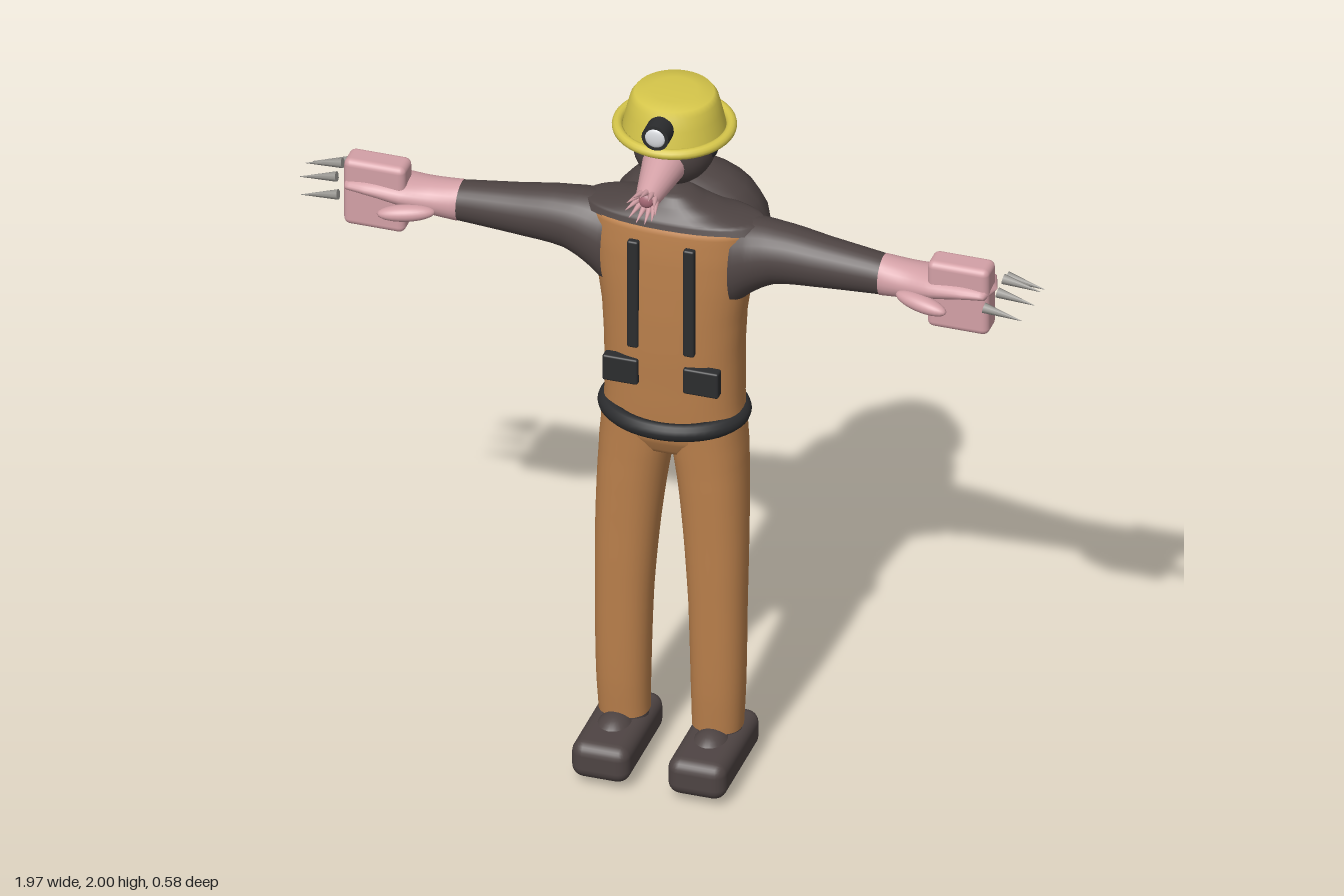
import * as THREE from 'three';
import { RoundedBoxGeometry } from 'three/addons/geometries/RoundedBoxGeometry.js';

const mat = (name, color, side = THREE.FrontSide) => {
  const m = new THREE.MeshStandardMaterial({ color, side });
  m.name = name;
  return m;
};

// Smooth skin over sections [y, centreX, centreZ, halfX, halfZ]
function loft(sections, power = 2, sides = 28) {
  const mid = new THREE.CatmullRomCurve3(sections.map(s => new THREE.Vector3(s[1], s[0], s[2])));
  const half = sections.map(s => new THREE.Vector2(s[3], s[4]));
  const rows = (sections.length - 1) * 4, pos = [], idx = [];
  const bend = v => Math.sign(v) * Math.abs(v) ** (2 / power);
  for (let i = 0; i <= rows; i++) {
    const c = mid.getPoint(i / rows);
    const k = Math.min(Math.floor(i / 4), half.length - 2);
    const h = half[k].clone().lerp(half[k + 1], i / 4 - k);
    for (let j = 0; j < sides; j++) {
      const a = j / sides * Math.PI * 2;
      pos.push(c.x + h.x * bend(Math.cos(a)), c.y, c.z + h.y * bend(Math.sin(a)));
      if (i < rows) {
        const p = i * sides + j, q = i * sides + (j + 1) % sides;
        idx.push(p, p + sides, q, q, p + sides, q + sides);
      }
    }
  }
  const g = new THREE.BufferGeometry();
  g.setAttribute('position', new THREE.Float32BufferAttribute(pos, 3));
  g.setIndex(idx);
  g.computeVertexNormals();
  return g;
}

// Loft running out along +x; sections [x, centreY, centreZ, halfY, halfZ]
const limb = sections =>
  loft(sections.map(([x, y, z, hy, hz]) => [x, -y, z, hy, hz])).rotateZ(-Math.PI / 2);

// Tapered rod between two points
function rod(a, b, r0, r1, sides = 16) {
  const A = new THREE.Vector3(...a), B = new THREE.Vector3(...b), d = B.clone().sub(A);
  const g = new THREE.CylinderGeometry(r1, r0, d.length(), sides);
  g.applyQuaternion(new THREE.Quaternion().setFromUnitVectors(new THREE.Vector3(0, 1, 0), d.normalize()));
  return g.translate(...A.add(B).multiplyScalar(0.5).toArray());
}

const ball = (x, y, z, rx, ry, rz, w = 24, h = 16) =>
  new THREE.SphereGeometry(1, w, h).scale(rx, ry, rz).translate(x, y, z);

const box = (x, y, z, w, h, d, r) =>
  new RoundedBoxGeometry(w, h, d, 3, r).translate(x, y, z);

// Mirror across x, keeping faces outward
function mirrored(geo) {
  const g = geo.clone().scale(-1, 1, 1);
  const n = g.index ? g.index.count : g.attributes.position.count;
  const old = g.index ? Array.from(g.index.array) : Array.from({ length: n }, (_, i) => i);
  for (let i = 0; i < n; i += 3) [old[i], old[i + 1]] = [old[i + 1], old[i]];
  g.setIndex(old);
  return g;
}

export function createModel() {
  const model = new THREE.Group();
  model.name = 'moleMiner';
  const fur = mat('darkFur', 0x4e4443);
  const cloth = mat('orangeCloth', 0xb97f4b);
  const skin = mat('pinkSkin', 0xd3a0a6);
  const nose = mat('darkPink', 0xa66a76);
  const black = mat('blackLeather', 0x2b2c2e);
  const yellow = mat('helmetYellow', 0xd6c64a, THREE.DoubleSide);
  const lens = mat('lampGlass', 0xd8dade);
  const grey = mat('clawGrey', 0x96948f);

  const add = (name, geo, material) => {
    const m = new THREE.Mesh(geo, material);
    m.name = name;
    model.add(m);
  };
  const pair = (name, geo, material) => {
    add(name + 'Left', geo, material);
    add(name + 'Right', mirrored(geo), material);
  };

  // Overalls and dark shoulders
  add('overallsTorso', loft([
    [0.92, 0, 0.005, 0, 0], [0.95, 0, 0.005, 0.13, 0.08], [1.0, 0, 0.005, 0.188, 0.104],
    [1.1, 0, 0, 0.182, 0.114], [1.25, 0, 0, 0.182, 0.118], [1.36, 0, 0, 0.188, 0.118],
    [1.46, 0, 0, 0.203, 0.115], [1.55, 0, 0, 0.215, 0.11], [1.628, 0, 0, 0.22, 0.1],
    [1.632, 0, 0, 0, 0]], 2.5, 40), cloth);
  add('shoulders', loft([
    [1.626, 0, 0, 0.25, 0.096], [1.645, 0, 0, 0.235, 0.09], [1.66, 0, 0, 0.15, 0.078],
    [1.68, 0, 0, 0.085, 0.064], [1.7, 0, 0, 0.045, 0.045], [1.712, 0, 0, 0, 0]], 2.2, 40), fur);
  pair('trouserLeg', loft([
    [0.13, 0.125, 0.03, 0.066, 0.06], [0.25, 0.127, 0.032, 0.07, 0.066],
    [0.5, 0.125, 0.03, 0.075, 0.072], [0.7, 0.118, 0.022, 0.083, 0.082],
    [0.85, 0.108, 0.012, 0.09, 0.094], [0.95, 0.098, 0.006, 0.096, 0.101],
    [1.05, 0.092, 0.004, 0.094, 0.105]], 2.3), cloth);

  // Straps, pockets and belt
  pair('strap', box(0.075, 1.435, 0.113, 0.03, 0.32, 0.02, 0.006), black);
  pair('pocket', box(0.108, 1.202, 0.109, 0.095, 0.075, 0.032, 0.006), black);
  add('belt', new THREE.TorusGeometry(1, 0.145, 12, 48).rotateX(Math.PI / 2)
    .scale(0.175, 0.165, 0.14).translate(0, 1.052, 0.003), black);

  // Round hump on the back
  add('backHump', ball(0, 1.535, -0.125, 0.21, 0.17, 0.168, 16, 12), fur);

  // Arms, hands and claws
  pair('sleeve', limb([
    [0.17, 1.52, 0.003, 0.125, 0.092], [0.215, 1.545, 0.004, 0.105, 0.09],
    [0.28, 1.565, 0.008, 0.083, 0.08], [0.42, 1.566, 0.015, 0.067, 0.065],
    [0.58, 1.563, 0.02, 0.052, 0.052]]), fur);
  pair('hand', limb([
    [0.565, 1.563, 0.02, 0.055, 0.054], [0.64, 1.565, 0.022, 0.046, 0.058],
    [0.71, 1.576, 0.03, 0.036, 0.066], [0.8, 1.588, 0.035, 0.026, 0.066],
    [0.855, 1.588, 0.035, 0.02, 0.058], [0.875, 1.588, 0.035, 0, 0]]), skin);
  pair('thumb', ball(0, 0, 0, 0.075, 0.022, 0.026)
    .rotateY(-0.25).rotateZ(-0.08).translate(0.69, 1.545, 0.095), skin);
  pair('palm', box(0.782, 1.565, 0.045, 0.165, 0.195, 0.075, 0.018), skin);
  [[-0.03, 0.98, 1.568], [0.017, 0.985, 1.59], [0.065, 0.985, 1.578], [0.115, 0.965, 1.558]]
    .forEach(([z, x, y], i) =>
      pair('claw' + (i + 1), rod([x - 0.1, y + 0.02, z], [x, y, z], 0.014, 0.0005, 8), grey));

  // Boots, ankles and rounded soles
  pair('boot', box(0.129, 0.072, 0.08, 0.156, 0.105, 0.32, 0.034), fur);
  pair('ankle', new THREE.CylinderGeometry(0.06, 0.068, 0.07, 20).translate(0.125, 0.11, 0.03), fur);
  pair('foot', ball(0.129, 0.073, 0.1, 0.06, 0.073, 0.075), fur);

  // Head, ears and eyes
  add('head', ball(0, 1.845, 0, 0.109, 0.113, 0.115, 32, 20), fur);
  pair('ear', ball(0.104, 1.848, 0.003, 0.012, 0.03, 0.022), black);
  pair('eye', ball(0.055, 1.872, 0.092, 0.013, 0.013, 0.013), black);

  // Snout with a star of feelers
  add('snout', rod([0, 1.828, 0.075], [0, 1.803, 0.235], 0.06, 0.03, 24), skin);
  add('noseTip', ball(0, 1.803, 0.236, 0.02, 0.02, 0.012), nose);
  for (let i = 0; i < 11; i++) {
    const a = i / 11 * Math.PI * 2 + Math.PI / 2, c = Math.cos(a), s = Math.sin(a);
    add('feeler' + (i + 1), rod([c * 0.023, 1.803 + s * 0.023, 0.228],
      [c * 0.04, 1.803 + s * 0.04, 0.285], 0.009, 0.001, 8), skin);
  }

  // Helmet, brim and lamp
  const profile = [[0.134, 1.89], [0.13, 1.91], [0.122, 1.945], [0.113, 1.98], [0.102, 1.995],
    [0.06, 2.0], [0, 2.0]].map(p => new THREE.Vector2(...p));
  add('helmetShell', new THREE.LatheGeometry(profile, 40).translate(0, 0, 0.005), yellow);
  add('helmetBrim', new THREE.TorusGeometry(0.146, 0.014, 12, 48).rotateX(Math.PI / 2)
    .translate(0, 1.896, 0.005), yellow);
  add('lampHousing', rod([0, 1.948, 0.11], [0, 1.948, 0.165], 0.036, 0.036, 24), black);
  add('lampLens', ball(0, 1.948, 0.164, 0.027, 0.027, 0.008), lens);
  return model;
}
